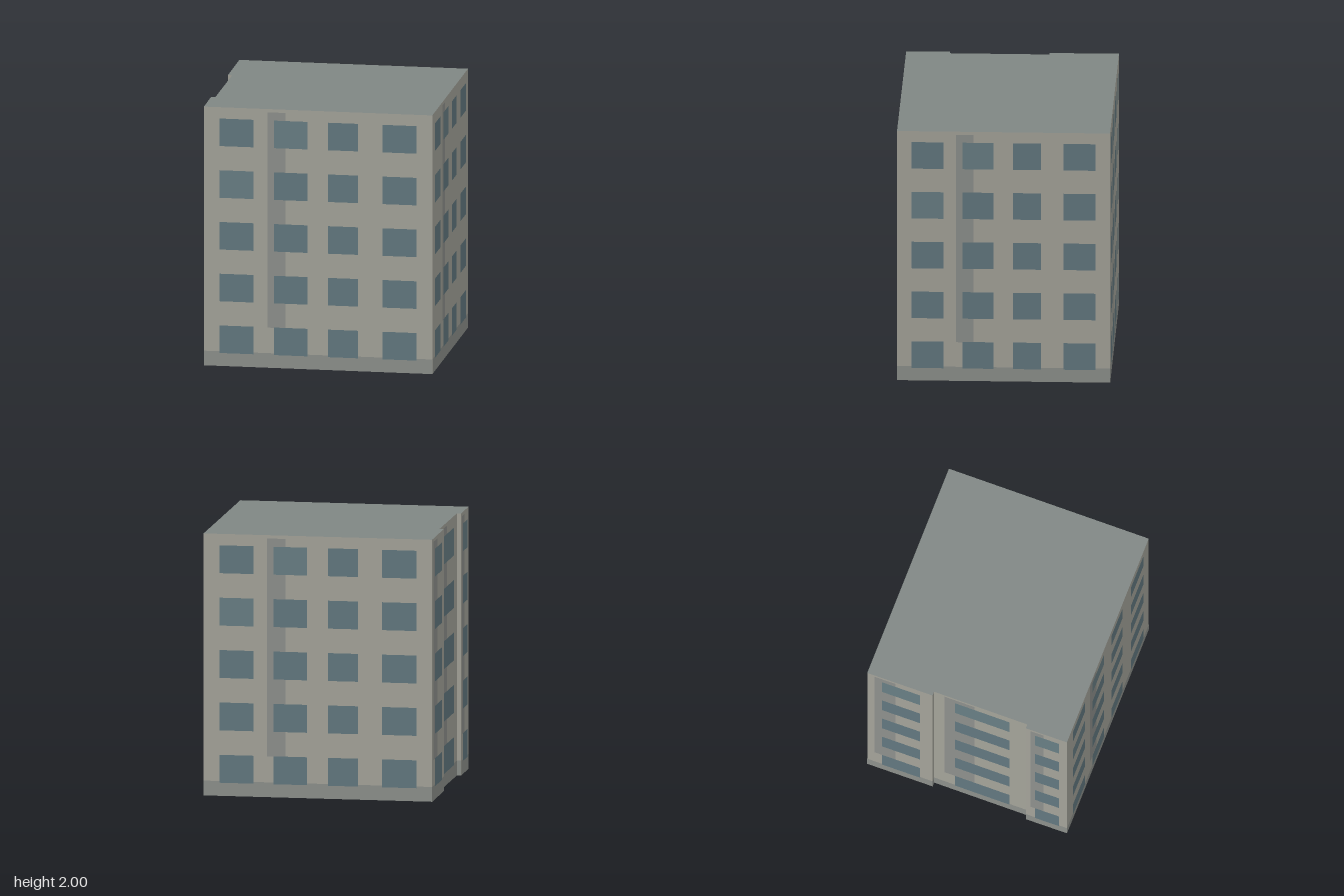
import * as THREE from 'three';

const HEIGHT = 2;
const paint = (color) => new THREE.MeshStandardMaterial({ color });
const wallPaint = paint(0xaeada3);
wallPaint.side = THREE.DoubleSide;
const roofPaint = paint(0x808784);
roofPaint.side = THREE.DoubleSide;
const glass = paint(0x687f87);
const paleGlass = paint(0x6f868c);
const basePaint = paint(0x959994);
const stripPaint = paint(0x969995);

// Footprint corners (x, z), running left to right as seen from outside
const footprint = [
  [-0.89, 0.78], [0.857, 0.82], [0.887, -0.787], [-0.863, -0.825],
  [-0.871, -0.3], [-0.838, -0.3], [-0.853, 0.45], [-0.886, 0.45],
];
// Range of the facade pattern on each wall; null for the narrow returns
const patterns = [[0, 1], [0, 1], [0, 1], [0.25, 0.5], null, [0.25, 0.5], null, [0.25, 0.5]];
const wallNames = ['front', 'left', 'back', 'rightRear', 'rearReturn', 'rightRecess', 'frontReturn', 'rightFront'];

// Window columns as fractions of a full facade
const columns = [[0.069, 0.218], [0.307, 0.453], [0.544, 0.676], [0.782, 0.931]];

// Flat rectangle from (x0, y0) to (x1, y1), standing proud by z
function panel(name, x0, x1, y0, y1, z, material) {
  const mesh = new THREE.Mesh(new THREE.PlaneGeometry(x1 - x0, y1 - y0), material);
  mesh.position.set((x0 + x1) / 2, (y0 + y1) / 2, z);
  mesh.name = name;
  return mesh;
}

// One wall with its base band, shaded strip and window grid
function facade(name, a, b, range) {
  const dx = b[0] - a[0], dz = b[1] - a[1];
  const width = Math.hypot(dx, dz);
  const group = new THREE.Group();
  group.name = name + 'Facade';
  group.position.set(a[0], 0, a[1]);
  group.rotation.y = Math.atan2(-dz, dx);
  group.add(panel('wall', 0, width, 0, HEIGHT, 0, wallPaint));
  group.add(panel('baseBand', 0, width, 0, 0.113, 0.001, basePaint));
  if (!range) return group;

  const at = (u) => ((u - range[0]) / (range[1] - range[0])) * width;
  group.add(panel('shadedStrip', at(0.278), at(0.358), 0.31, 1.975, 0.001, stripPaint));
  columns.forEach(([u0, u1], col) => {
    if (u0 < range[0] || u1 > range[1]) return;
    for (let floor = 0; floor < 5; floor++) {
      const y = 0.1 + floor * 0.4;
      const pale = (floor === 4 && col === 1) || (floor === 3 && col === 0);
      group.add(panel('window', at(u0), at(u1), y, y + 0.213, 0.002, pale ? paleGlass : glass));
    }
  });
  return group;
}

export function createModel() {
  const model = new THREE.Group();
  model.name = 'apartmentBlock';

  // Walls, open underneath
  footprint.forEach((corner, i) => {
    const next = footprint[(i + 1) % footprint.length];
    model.add(facade(wallNames[i], corner, next, patterns[i]));
  });

  // Flat roof
  const outline = new THREE.Shape(footprint.map(([x, z]) => new THREE.Vector2(x, -z)));
  const roof = new THREE.Mesh(new THREE.ShapeGeometry(outline), roofPaint);
  roof.rotation.x = -Math.PI / 2;
  roof.position.y = HEIGHT;
  roof.name = 'roof';
  model.add(roof);

  return model;
}
